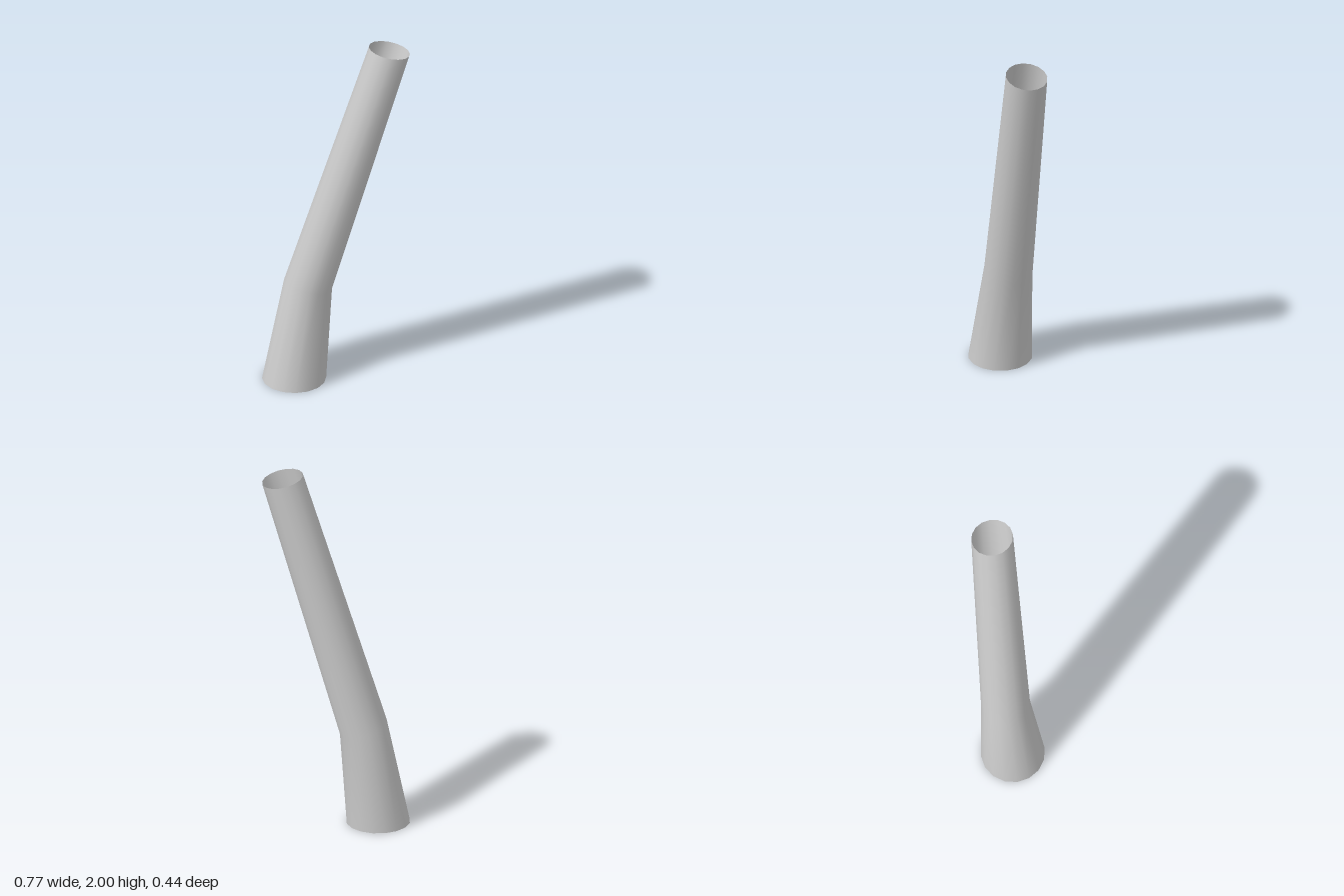
import * as THREE from 'three';
import { mergeVertices } from 'three/addons/utils/BufferGeometryUtils.js';

const SIDES = 16;

// Rings from top to bottom: centre, radius along x, radius along z, drop at +x
const RINGS = [
  { c: [0.275, 1.975, 0.107], rx: 0.11, rz: 0.113, drop: 0.025 },
  { c: [-0.133, 0.557, -0.048], rx: 0.128, rz: 0.132, drop: 0.032 },
  { c: [-0.214, 0, -0.05], rx: 0.172, rz: 0.172, drop: 0 },
];

export function createModel() {
  const group = new THREE.Group();
  group.name = 'bentPipe';
  const material = new THREE.MeshStandardMaterial({ color: 0xcccccc, side: THREE.DoubleSide });

  // Bent, tapering wall, open at the top
  let wall = new THREE.CylinderGeometry(1, 1, 2, SIDES, RINGS.length - 1, true);
  const p = wall.attributes.position;
  for (let i = 0; i < p.count; i++) {
    const { c, rx, rz, drop } = RINGS[Math.round(1 - p.getY(i))];
    const x = p.getX(i), z = p.getZ(i);
    p.setXYZ(i, c[0] + x * rx, c[1] - x * drop, c[2] + z * rz);
  }
  wall.deleteAttribute('uv');
  wall.deleteAttribute('normal');
  wall = mergeVertices(wall);
  wall.computeVertexNormals();
  const pipe = new THREE.Mesh(wall, material);
  pipe.name = 'pipeWall';
  group.add(pipe);

  // Flat disc closing the foot
  const foot = RINGS[2];
  const disc = new THREE.CircleGeometry(foot.rx, SIDES).rotateX(Math.PI / 2);
  const base = new THREE.Mesh(disc, material);
  base.name = 'baseCap';
  base.position.set(...foot.c);
  group.add(base);

  return group;
}
